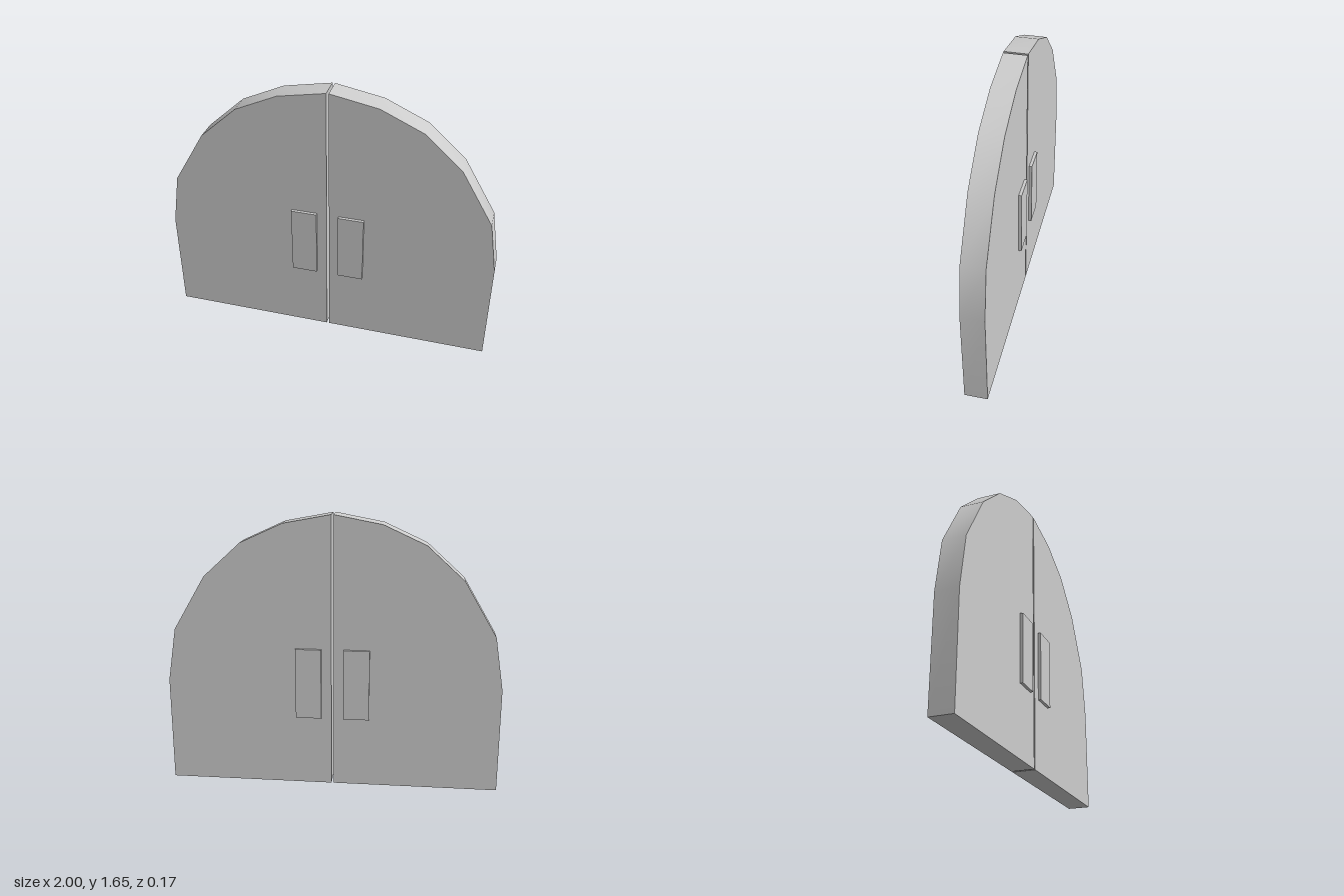
import * as THREE from 'three';
import { toCreasedNormals } from 'three/addons/utils/BufferGeometryUtils.js';

const HALF_DEPTH = 0.068;
const PLATE_DEPTH = 0.018;

// Outline of the left leaf; the right leaf mirrors it
const OUTLINE = [
  [0.007, 0], [1, 0], [1, 0.64], [0.948, 0.96], [0.757, 1.283],
  [0.537, 1.483], [0.288, 1.597], [0.007, 1.65],
];

function createLeafGeometry(side) {
  const shape = new THREE.Shape(OUTLINE.map(([x, y]) => new THREE.Vector2(x * side, y)));
  const geometry = new THREE.ExtrudeGeometry(shape, { depth: HALF_DEPTH * 2, bevelEnabled: false });
  geometry.translate(0, 0, -HALF_DEPTH);
  // Smooth along the arched rim, sharp at the faces and corners
  return toCreasedNormals(geometry, THREE.MathUtils.degToRad(40));
}

export function createModel() {
  const model = new THREE.Group();
  model.name = 'archedDoubleDoor';

  const grey = new THREE.MeshStandardMaterial({ color: 0xcccccc });
  grey.name = 'lightGrey';

  const plateGeometry = new THREE.BoxGeometry(0.155, 0.43, PLATE_DEPTH);

  for (const [name, side] of [['left', 1], ['right', -1]]) {
    const door = new THREE.Group();
    door.name = `${name}Door`;

    const leaf = new THREE.Mesh(createLeafGeometry(side), grey);
    leaf.name = `${name}Leaf`;
    door.add(leaf);

    // Push plates on both faces of the leaf
    for (const [face, dir] of [['Front', 1], ['Back', -1]]) {
      const plate = new THREE.Mesh(plateGeometry, grey);
      plate.name = `${name}${face}PushPlate`;
      plate.position.set(side * 0.1435, 0.645, dir * (HALF_DEPTH + PLATE_DEPTH / 2));
      door.add(plate);
    }
    model.add(door);
  }
  return model;
}
